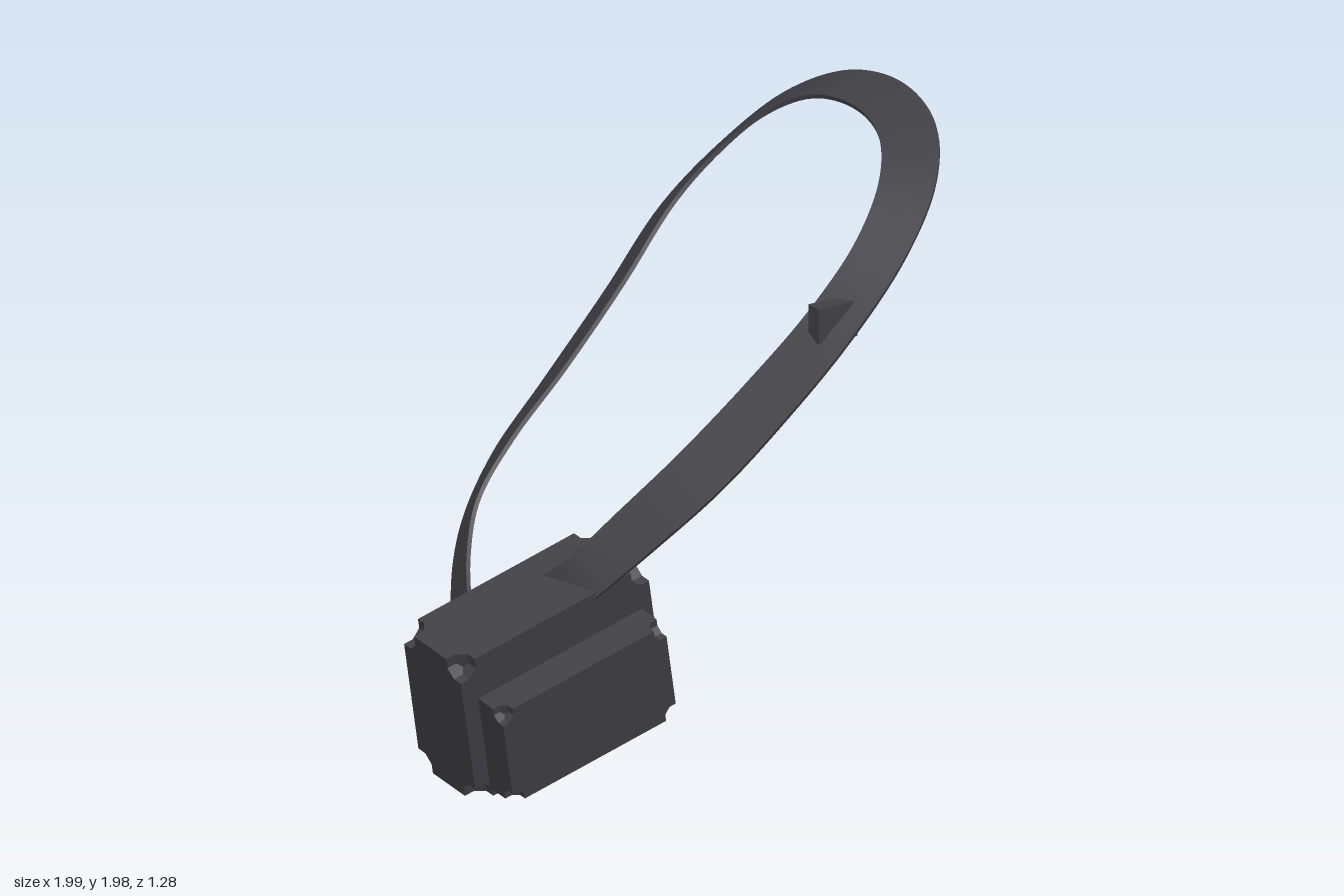
import * as THREE from 'three';
import { mergeGeometries } from 'three/addons/utils/BufferGeometryUtils.js';

// Rectangle outline with a stepped, chamfered notch at each corner
function notchedShape(w, h, n) {
  const a = w / 2, b = h / 2, m = n * 0.55;
  const corner = [[a, b - n], [a - m, b - n], [a - n, b - m], [a - n, b]];
  const points = [];
  for (const [sx, sy] of [[1, 1], [-1, 1], [-1, -1], [1, -1]]) {
    const list = sx * sy > 0 ? corner : [...corner].reverse();
    for (const [x, y] of list) points.push(new THREE.Vector2(x * sx, y * sy));
  }
  return new THREE.Shape(points);
}

// Block whose eight corners are notched: one notched prism along each axis
function notchedBox(w, h, d, n) {
  const prism = (pw, ph, depth) => new THREE.ExtrudeGeometry(
    notchedShape(pw, ph, n), { depth, bevelEnabled: false }).translate(0, 0, -depth / 2);
  return mergeGeometries([
    prism(w, h, d),
    prism(d, h, w).rotateY(Math.PI / 2),
    prism(w, d, h).rotateX(-Math.PI / 2),
  ]);
}

// Thin band swept between an outer and an inner edge curve
function ribbon(stations, steps, thickness) {
  const curve = (k) => new THREE.CatmullRomCurve3(
    stations.map((s) => new THREE.Vector3(s[k], s[k + 1], s[k + 2])));
  const outer = curve(0), inner = curve(3);
  const rings = [];
  for (let j = 0; j <= steps; j++) {
    const t = j / steps;
    const o = outer.getPoint(t), i = inner.getPoint(t);
    const n = outer.getTangent(t).add(inner.getTangent(t))
      .cross(o.clone().sub(i)).setLength(thickness / 2);
    rings.push([o.clone().add(n), i.clone().add(n), i.clone().sub(n), o.clone().sub(n)]);
  }
  // Each of the four sides has its own vertices, so its edges stay sharp
  const positions = [], index = [];
  for (let k = 0; k < 4; k++) {
    const base = positions.length / 3;
    rings.forEach((r) => positions.push(...r[k].toArray(), ...r[(k + 1) % 4].toArray()));
    for (let j = 0; j < steps; j++) {
      const a = base + j * 2;
      index.push(a, a + 1, a + 2, a + 1, a + 3, a + 2);
    }
  }
  const geometry = new THREE.BufferGeometry();
  geometry.setAttribute('position', new THREE.Float32BufferAttribute(positions, 3));
  geometry.setIndex(index);
  geometry.computeVertexNormals();
  return geometry;
}

export function createModel() {
  const model = new THREE.Group();
  model.name = 'shoulderBag';
  const fabric = new THREE.MeshStandardMaterial({ color: 0x403f44, side: THREE.DoubleSide });
  fabric.name = 'charcoal fabric';

  const add = (parent, name, geometry, x, y, z) => {
    const mesh = new THREE.Mesh(geometry, fabric);
    mesh.name = name;
    mesh.position.set(x, y, z);
    parent.add(mesh);
    return mesh;
  };

  // Bag body with its front pocket, leaning forward and to one side
  const bag = new THREE.Group();
  bag.name = 'bag';
  bag.position.set(-0.56, 0.37, 0.195);
  bag.rotation.set(0.175, 0, 0.262, 'ZYX');
  add(bag, 'bagBody', notchedBox(0.76, 0.55, 0.3, 0.065), 0, 0, 0);
  add(bag, 'frontPocket', notchedBox(0.66, 0.36, 0.17, 0.045), 0.008, -0.06, 0.189);
  model.add(bag);

  // Strap stations: outer edge xyz, then inner edge xyz
  const stations = [
    [-0.50, 0.52, 0.28, -0.54, 0.64, 0.17],
    [-0.46, 0.62, 0.38, -0.47, 0.73, 0.26],
    [-0.30, 0.80, 0.50, -0.32, 0.88, 0.33],
    [-0.10, 0.98, 0.58, -0.13, 1.06, 0.40],
    [0.12, 1.18, 0.62, 0.10, 1.26, 0.44],
    [0.36, 1.40, 0.635, 0.32, 1.46, 0.465],
    [0.60, 1.62, 0.60, 0.52, 1.65, 0.445],
    [0.80, 1.80, 0.49, 0.68, 1.80, 0.35],
    [0.93, 1.92, 0.31, 0.78, 1.89, 0.20],
    [0.99, 1.97, 0.03, 0.81, 1.925, 0.02],
    [0.96, 1.94, -0.22, 0.79, 1.90, -0.19],
    [0.87, 1.82, -0.44, 0.72, 1.80, -0.36],
    [0.72, 1.64, -0.58, 0.61, 1.67, -0.45],
    [0.53, 1.45, -0.64, 0.47, 1.52, -0.49],
    [0.28, 1.22, -0.60, 0.24, 1.30, -0.45],
    [0.02, 0.98, -0.572, -0.01, 1.07, -0.42],
    [-0.20, 0.78, -0.545, -0.22, 0.88, -0.41],
    [-0.38, 0.60, -0.46, -0.38, 0.72, -0.37],
    [-0.50, 0.43, -0.34, -0.48, 0.58, -0.28],
    [-0.57, 0.29, -0.20, -0.55, 0.47, -0.17],
    [-0.60, 0.24, -0.07, -0.595, 0.43, -0.06],
    [-0.605, 0.27, 0.06, -0.605, 0.46, 0.06],
  ];
  add(model, 'strap', ribbon(stations, 160, 0.014), 0, 0, 0);

  // Small adjuster block on the front run of the strap
  add(model, 'strapBuckle', new THREE.BoxGeometry(0.15, 0.12, 0.06), 0.365, 1.45, 0.54);

  return model;
}
